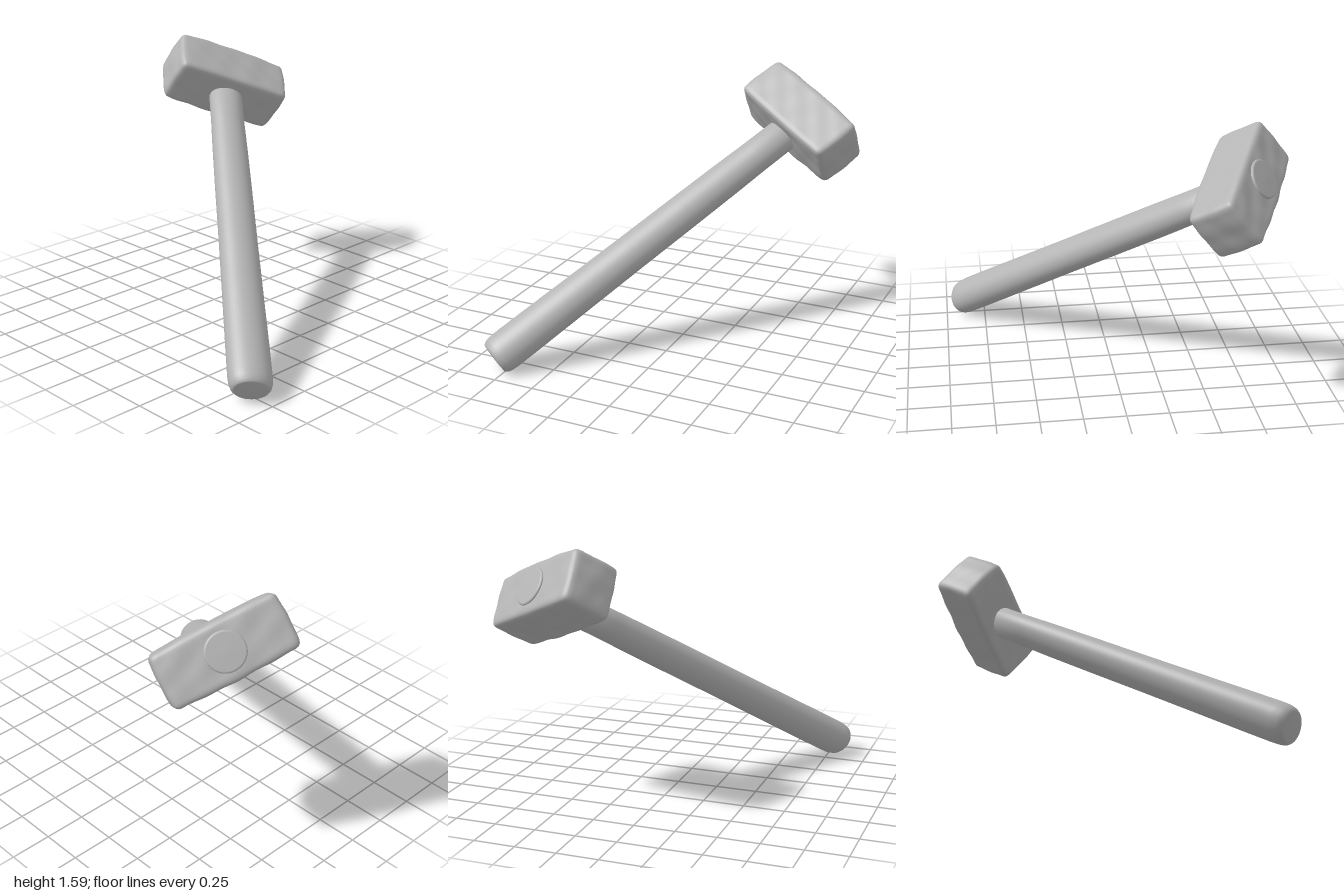
import * as THREE from 'three';
import { mergeVertices } from 'three/addons/utils/BufferGeometryUtils.js';

const grey = new THREE.MeshStandardMaterial({ color: 0xb4b4b4 });
grey.name = 'plain grey';

// Gentle hand-worn unevenness
const lump = (x, y, z) =>
  Math.sin(x * 31 + y * 13) * Math.sin(y * 27 + z * 19 + 1) + 0.6 * Math.sin(z * 43 + x * 17);

// Box with rounded edges, a slight bulge at the middle and domed end faces
function headGeometry(hx, hy, hz, r) {
  let g = new THREE.BoxGeometry(2 * hx, 2 * hy, 2 * hz, 44, 20, 20);
  g.deleteAttribute('normal');
  g.deleteAttribute('uv');
  g = mergeVertices(g, 1e-4);
  const p = g.attributes.position;
  const v = new THREE.Vector3(), core = new THREE.Vector3();
  const limit = new THREE.Vector3(hx - r, hy - r, hz - r);
  for (let i = 0; i < p.count; i++) {
    v.fromBufferAttribute(p, i);
    core.copy(v).clamp(limit.clone().negate(), limit);
    const n = v.clone().sub(core).normalize();
    v.copy(core).addScaledVector(n, r + 0.0022 * lump(v.x, v.y, v.z));
    const along = v.x / hx;
    const swell = 1.03 - 0.06 * along * along;
    const dome = 1 - 0.12 * ((v.y / hy) ** 2 + (v.z / hz) ** 2) * 0.2;
    p.setXYZ(i, v.x * dome, v.y * swell, v.z * swell);
  }
  g.computeVertexNormals();
  return g;
}

// Surface of revolution from [radius, height] pairs, flattened to an oval
function turned(points, flatten) {
  const g = new THREE.LatheGeometry(points.map(([r, y]) => new THREE.Vector2(r, y)), 40);
  g.scale(1, 1, flatten);
  return g;
}

export function createModel() {
  const model = new THREE.Group();
  model.name = 'hammer';

  // Tilted frame: x runs along the head, y up the handle
  const tool = new THREE.Group();
  tool.name = 'tiltedHammer';
  const up = new THREE.Vector3(-0.665, 0.503, -0.553).normalize();
  const along = new THREE.Vector3(0.399, -0.359, -0.844);
  along.addScaledVector(up, -along.dot(up)).normalize();
  const side = new THREE.Vector3().crossVectors(along, up);
  tool.quaternion.setFromRotationMatrix(new THREE.Matrix4().makeBasis(along, up, side));
  tool.position.set(-0.675, 1.287, -0.5);
  model.add(tool);

  const add = (name, geometry) => {
    const mesh = new THREE.Mesh(geometry, grey);
    mesh.name = name;
    tool.add(mesh);
  };

  add('head', headGeometry(0.385, 0.155, 0.163, 0.032));

  // Oval handle, flared a little towards the grip end
  add('handle', turned([
    [0, -2.372], [0.06, -2.371], [0.098, -2.368], [0.104, -2.366], [0.116, -2.352],
    [0.124, -2.325], [0.127, -2.28], [0.126, -2.1], [0.122, -1.75], [0.118, -1.35],
    [0.116, -0.95], [0.113, -0.6], [0.109, -0.38], [0.108, -0.1], [0, -0.1],
  ], 0.84));

  // Handle end showing through the top of the head
  add('handleTip', turned([
    [0.116, 0.1], [0.116, 0.164], [0.115, 0.168], [0.11, 0.172], [0.104, 0.173], [0, 0.175],
  ], 0.98));

  return model;
}
